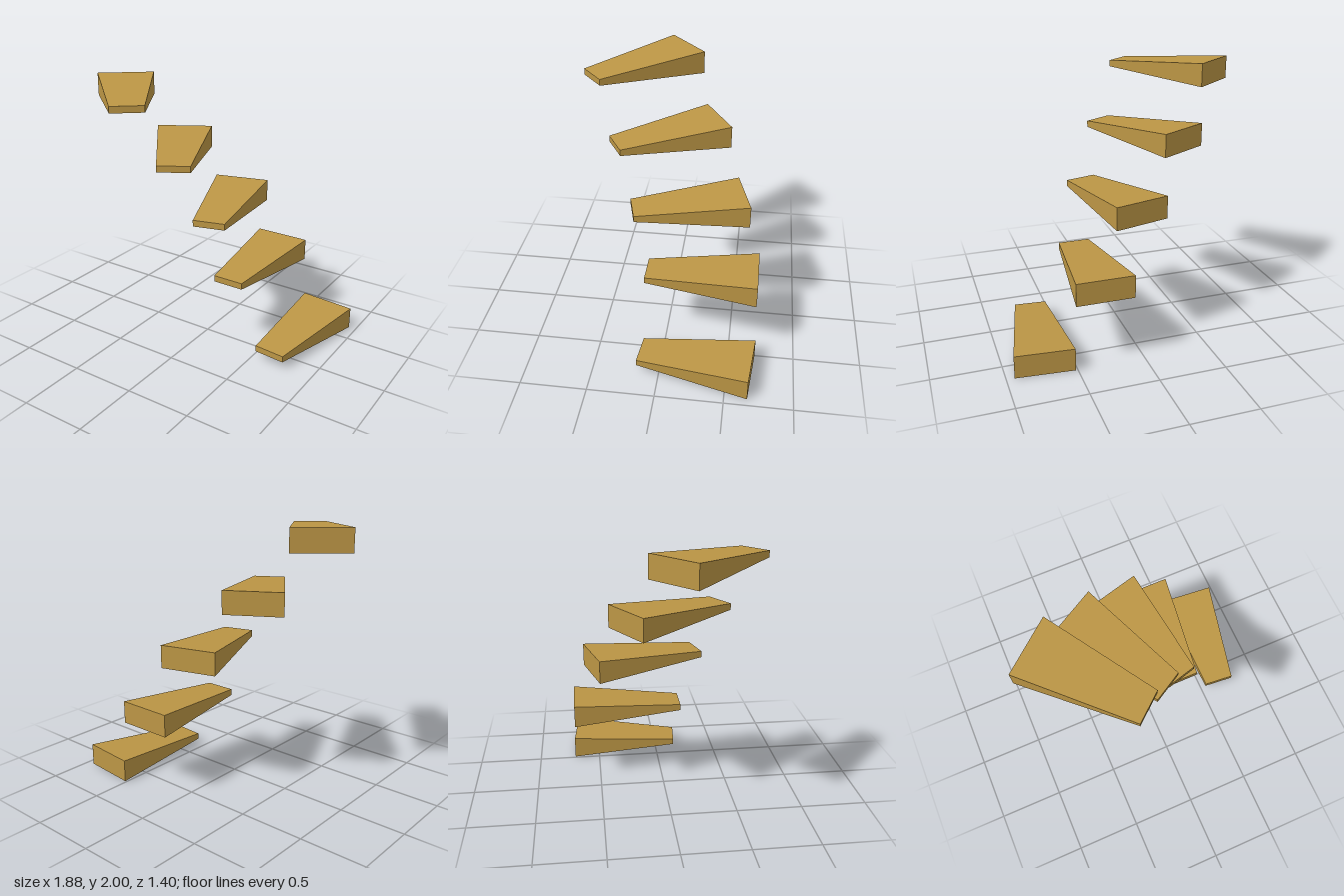
import * as THREE from 'three';

const LENGTH = 0.848;
const WIDE = { w: 0.43, h: 0.171 };
const NARROW = { w: 0.24, h: 0.048 };

// Wedge tread: a box whose front (+z) end shrinks in width and height
function treadGeometry() {
  const geo = new THREE.BoxGeometry(WIDE.w, WIDE.h, LENGTH);
  const p = geo.attributes.position;
  for (let i = 0; i < p.count; i++) {
    if (p.getZ(i) > 0) {
      p.setX(i, Math.sign(p.getX(i)) * NARROW.w / 2);
      p.setY(i, Math.sign(p.getY(i)) * NARROW.h / 2);
    }
  }
  geo.computeVertexNormals();
  return geo;
}

export function createModel() {
  const group = new THREE.Group();
  group.name = 'floatingStaircase';
  const wood = new THREE.MeshStandardMaterial({ color: 0xbc9645 });
  wood.name = 'ochre wood';
  const geo = treadGeometry();

  // Treads from lowest to highest: centre x, y, z and turn in degrees
  const treads = [
    [0.691, 0.087, -0.264, -5],
    [0.285, 0.577, -0.267, 0],
    [0.08, 1.058, -0.137, 15],
    [-0.215, 1.485, 0.055, 30],
    [-0.505, 1.915, 0.292, 40],
  ];
  treads.forEach(([x, y, z, turn], i) => {
    const tread = new THREE.Mesh(geo, wood);
    tread.name = `tread${i + 1}`;
    tread.position.set(x, y, z);
    tread.rotation.y = THREE.MathUtils.degToRad(turn);
    group.add(tread);
  });
  return group;
}
